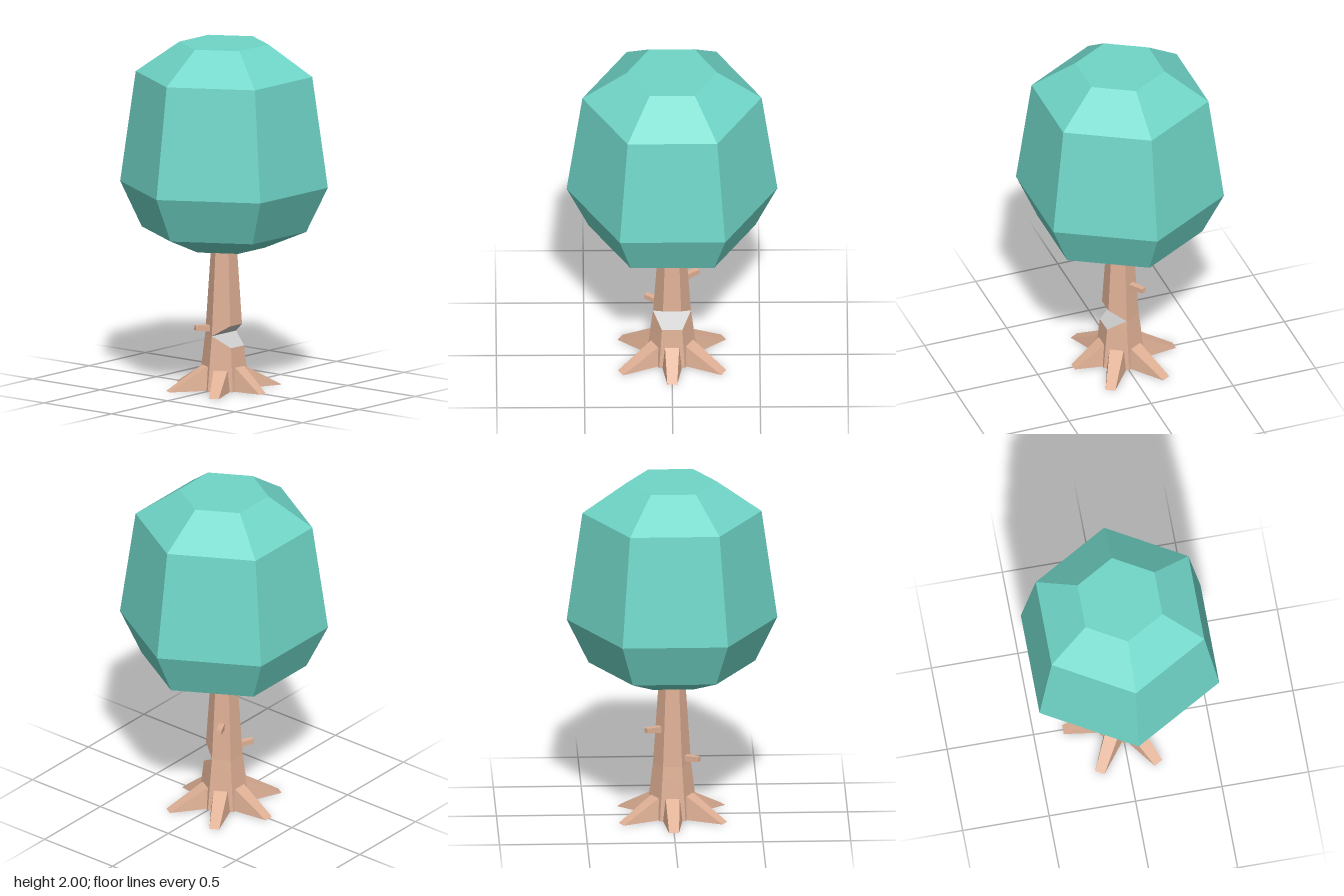
import * as THREE from 'three';
import { ConvexGeometry } from 'three/addons/geometries/ConvexGeometry.js';

const flat = (color) => new THREE.MeshStandardMaterial({ color, flatShading: true });
const bark = flat(0xdfb095);
const leaf = flat(0x70d6c8);
const grey = flat(0xcccccc);

// point on a six-sided ring; corner 0 points to +z
function corner(i, r, y) {
  const a = (i * Math.PI) / 3;
  return [r * Math.sin(a), y, r * Math.cos(a)];
}
const ring = (r, y) => [0, 1, 2, 3, 4, 5].map((i) => corner(i, r, y));

// polygons (counter-clockwise from outside) to a geometry
function polygons(list) {
  const pos = [];
  for (const p of list) {
    for (let i = 1; i < p.length - 1; i++) pos.push(...p[0], ...p[i], ...p[i + 1]);
  }
  const g = new THREE.BufferGeometry();
  g.setAttribute('position', new THREE.Float32BufferAttribute(pos, 3));
  g.computeVertexNormals();
  return g;
}

// side walls between successive rings
function walls(rings) {
  const out = [];
  for (let k = 0; k < rings.length - 1; k++) {
    const a = rings[k], b = rings[k + 1];
    for (let i = 0; i < 6; i++) {
      const j = (i + 1) % 6;
      out.push([a[i], a[j], b[j], b[i]]);
    }
  }
  return out;
}

export function createModel() {
  const tree = new THREE.Group();
  tree.name = 'tree';
  const add = (name, geometry, material) => {
    const m = new THREE.Mesh(geometry, material);
    m.name = name;
    tree.add(m);
    return m;
  };

  // faceted crown with closed top and bottom
  const profile = [[0, 0.82], [0.235, 0.82], [0.475, 0.92], [0.6, 1.18], [0.51, 1.82], [0.257, 2], [0, 2]];
  add('crown', new THREE.LatheGeometry(profile.map(([r, y]) => new THREE.Vector2(r, y)), 6), leaf);

  // trunk, with the two +x corners pulled apart where the notch is cut
  const base = ring(0.145, 0);
  const below = ring(0.116, 0.25);
  const notchLow = ring(0.108, 0.315);
  const notchHigh = ring(0.108, 0.315);
  for (const i of [1, 2]) {
    notchLow[i] = below[i];
    notchHigh[i] = corner(i, 0.104, 0.375);
  }
  const top = ring(0.074, 0.83);
  add('trunk', polygons([
    ...walls([base, below, notchLow]),
    ...walls([notchHigh, top]),
    [...base].reverse(),
  ]), bark);

  // cut faces of the notch
  add('notch', polygons([notchLow.slice(0, 4), notchHigh.slice(0, 4).reverse()]), grey);

  // wedge roots, one on each trunk face: [angle in degrees, reach, height]
  const roots = [[30, 0.34, 0.12], [90, 0.285, 0.135], [150, 0.34, 0.125],
    [210, 0.34, 0.125], [270, 0.33, 0.13], [330, 0.34, 0.135]];
  for (const [deg, reach, height] of roots) {
    const pts = [];
    for (const s of [-1, 1]) {
      pts.push(
        new THREE.Vector3(s * 0.04, height, 0.118),
        new THREE.Vector3(s * 0.04, height, 0.08),
        new THREE.Vector3(s * 0.057, 0, 0.08),
        new THREE.Vector3(s * 0.055, 0, 0.125),
        new THREE.Vector3(s * 0.028, 0, reach),
      );
    }
    add('root', new ConvexGeometry(pts), bark).rotation.y = THREE.MathUtils.degToRad(deg);
  }

  // stubby twigs: [angle in degrees, height]
  for (const [deg, y] of [[-30, 0.355], [-150, 0.53]]) {
    const g = new THREE.CylinderGeometry(0.02, 0.026, 0.11, 4);
    g.rotateY(Math.PI / 4);
    g.rotateX(Math.PI / 2 - 0.08);
    g.translate(0, 0, 0.12);
    const twig = add('twig', g, bark);
    twig.position.y = y;
    twig.rotation.y = THREE.MathUtils.degToRad(deg);
  }
  return tree;
}
